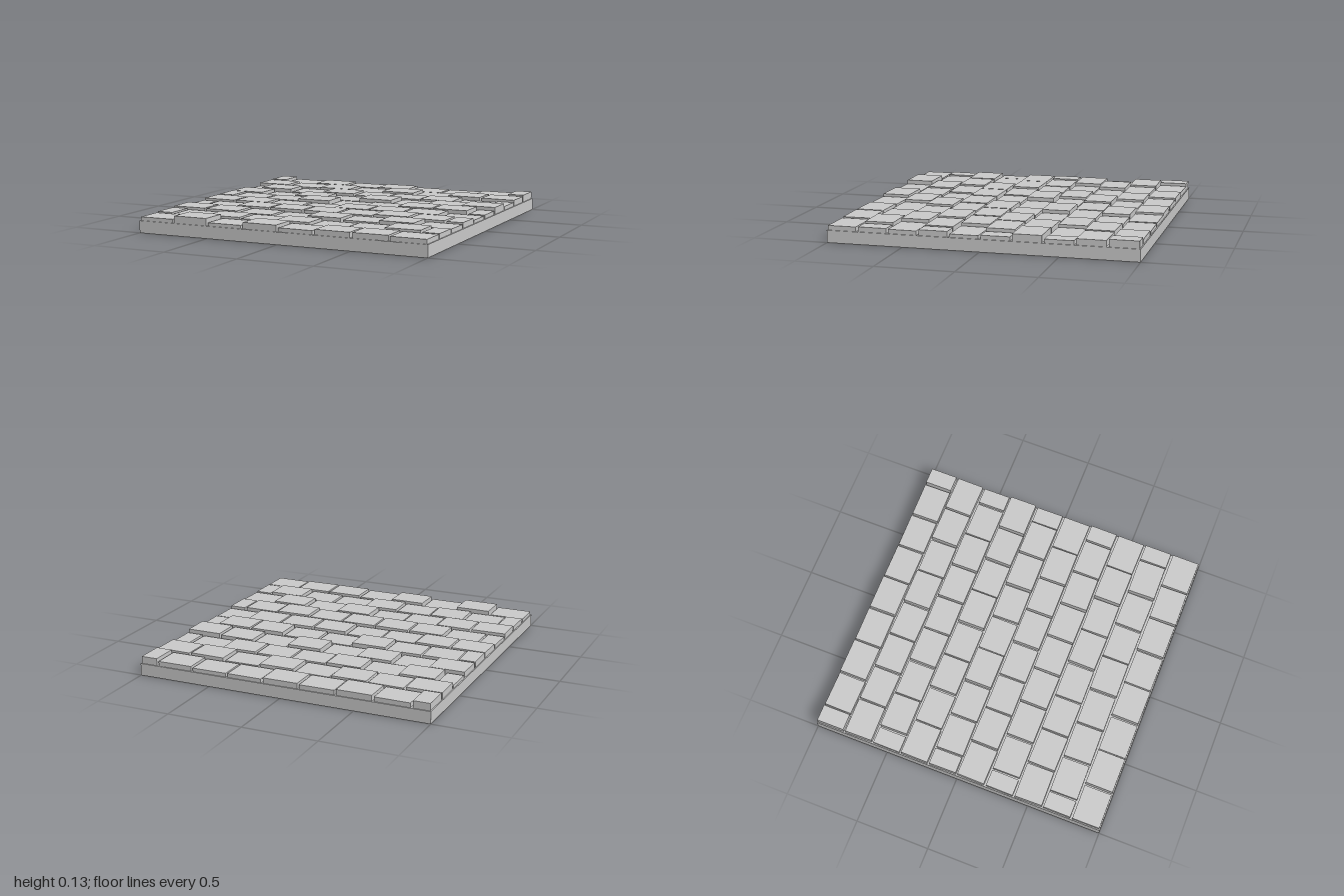
import * as THREE from 'three';

const SLAB = 0.08, ROWS = 10, PITCH_X = 0.25, PITCH_Z = 0.2, GAP = 0.014;

// Brick top heights along the front row and down the right edge
const FRONT = [0.105, 0.128, 0.102, 0.122, 0.106, 0.115, 0.115, 0.11];
const RIGHT = [0.128, 0.12, 0.106, 0.127, 0.106, 0.102, 0.117, 0.108, 0.112, 0.11];

function seeded(seed) {
  return () => {
    seed = (seed * 16807) % 2147483647;
    return seed / 2147483647;
  };
}

export function createModel() {
  const group = new THREE.Group();
  group.name = 'brickFloorTile';
  const material = new THREE.MeshStandardMaterial({ color: 0xcccccc, flatShading: true });
  const random = seeded(4217);

  // Mortar slab
  const slab = new THREE.Mesh(new THREE.BoxGeometry(2, SLAB, 2), material);
  slab.name = 'baseSlab';
  slab.position.y = SLAB / 2;
  group.add(slab);

  // Bricks in running bond, each a little uneven in height and turn
  const bricks = new THREE.Group();
  bricks.name = 'bricks';
  for (let row = 0; row < ROWS; row++) {
    const staggered = row % 2 === 0;
    const count = staggered ? 9 : 8;
    for (let i = 0; i < count; i++) {
      const start = -1 + (i - (staggered ? 0.5 : 0)) * PITCH_X;
      const x0 = Math.max(-1, start), x1 = Math.min(1, start + PITCH_X);
      const half = x1 - x0 < PITCH_X * 0.9;

      let top = 0.1 + random() * 0.028;
      const turn = (random() - 0.5) * (half ? 0.02 : 0.035);
      if (row === 0 && i === 0) top = 0.128;
      if (i === count - 1) top = RIGHT[row];
      if (row === ROWS - 1) top = FRONT[i];

      // Bricks are bedded slightly into the slab
      const bottom = SLAB - 0.02;
      const brick = new THREE.Mesh(
        new THREE.BoxGeometry(x1 - x0 - GAP, top - bottom, PITCH_Z - GAP), material);
      brick.name = half ? 'halfBrick' : 'brick';
      brick.position.set((x0 + x1) / 2, (top + bottom) / 2, -1 + (row + 0.5) * PITCH_Z);
      brick.rotation.y = turn;
      bricks.add(brick);
    }
  }
  group.add(bricks);
  return group;
}
